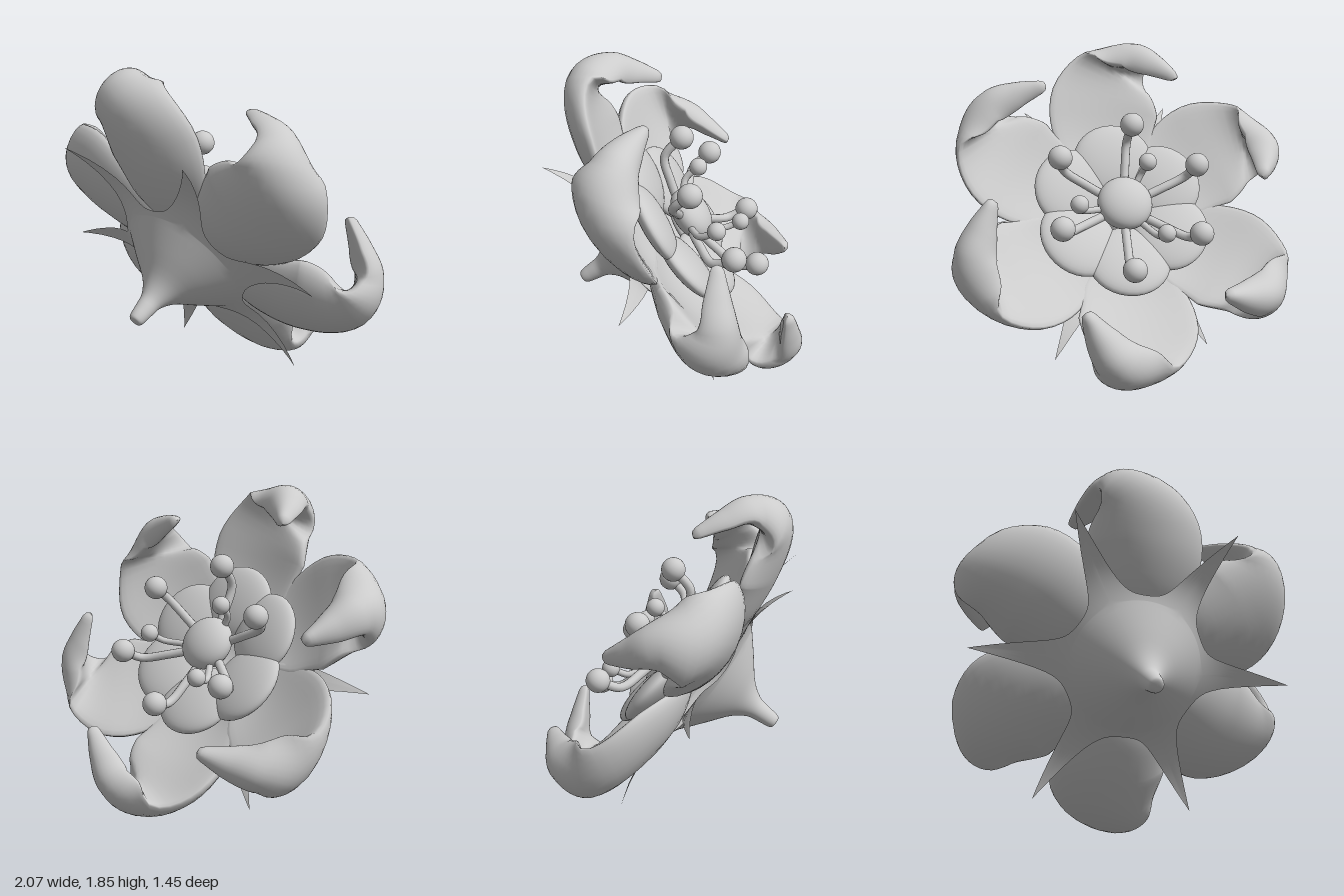
import * as THREE from 'three';

const V = (x, y, z) => new THREE.Vector3(x, y, z);
const material = new THREE.MeshStandardMaterial({ color: 0xcccccc, side: THREE.DoubleSide });

function add(parent, name, geometry) {
  const mesh = new THREE.Mesh(geometry, material);
  mesh.name = name;
  parent.add(mesh);
  return mesh;
}

// Surface from closed cross-sections: point(i, j) for each ring i and corner j
function loft(rings, corners, point) {
  const positions = [], index = [];
  for (let i = 0; i < rings; i++) {
    for (let j = 0; j < corners; j++) {
      positions.push(...point(i, j).toArray());
      if (i === rings - 1) continue;
      const k = (j + 1) % corners;
      const a = i * corners + j, b = i * corners + k;
      index.push(a, b, a + corners, b, b + corners, a + corners);
    }
  }
  const geometry = new THREE.BufferGeometry();
  geometry.setAttribute('position', new THREE.Float32BufferAttribute(positions, 3));
  geometry.setIndex(index);
  geometry.computeVertexNormals();
  return geometry;
}

// Funnel-shaped stem that flares into a six-pointed star of sepals
function calyxGeometry() {
  const inner = new THREE.SplineCurve([
    [0, -0.475], [0.035, -0.47], [0.047, -0.44], [0.055, -0.38], [0.07, -0.31],
    [0.13, -0.225], [0.25, -0.125], [0.38, -0.014],
  ].map(([r, h]) => new THREE.Vector2(r, h)));
  const innerRings = 24, outerRings = 16, perSepal = 24;
  return loft(innerRings + outerRings, 6 * perSepal, (i, j) => {
    const s = ((j % perSepal) / perSepal) * 2 - 1;
    const spread = Math.abs(s) ** 1.5;
    const angle = Math.floor(j / perSepal) * Math.PI / 3 + Math.sign(s) * spread * Math.PI / 6;
    let r, h;
    if (i < innerRings) {
      const p = inner.getPoint(i / (innerRings - 1));
      r = Math.max(p.x, 0);
      h = p.y;
    } else {
      const reach = 0.41 + 0.1 * (1 - spread) ** 2 + 0.43 * (1 - spread) ** 5;
      r = 0.38 + (reach - 0.38) * (i - innerRings + 1) / outerRings;
      h = 0.055 - (r < 0.62 ? 1.2 : 0.57) * (r - 0.62) ** 2;
    }
    return V(r * Math.cos(angle), h, r * Math.sin(angle));
  });
}

// Thick cupped petal whose end curls up and sideways into a hook
function petalGeometry() {
  const path = new THREE.CatmullRomCurve3([
    V(0, 0.10, 0.15), V(0.01, 0.11, 0.45), V(0, 0.18, 0.72), V(-0.105, 0.285, 0.955),
    V(-0.195, 0.405, 0.945), V(-0.285, 0.485, 0.845), V(-0.36, 0.56, 0.73),
  ]);
  // x is half the width, y half the thickness
  const size = new THREE.CatmullRomCurve3([
    V(0.08, 0.03, 0), V(0.29, 0.07, 0), V(0.35, 0.105, 0), V(0.235, 0.115, 0),
    V(0.14, 0.095, 0), V(0.095, 0.07, 0), V(0.042, 0.04, 0),
  ]);
  const rings = 40, corners = 28;
  return loft(rings + 2, corners, (i, j) => {
    const t = Math.min(i / (rings - 1), 1);
    const center = path.getPoint(t), tangent = path.getTangent(t), half = size.getPoint(t);
    // The last two rings round off the tip
    const cap = i < rings ? 1 : i === rings ? 0.7 : 0;
    if (i >= rings) center.addScaledVector(tangent, i === rings ? 0.024 : 0.034);
    const side = V(1, 0, 0).addScaledVector(tangent, -tangent.x).normalize();
    const up = tangent.clone().cross(side);
    const a = (j / corners) * Math.PI * 2;
    const c = Math.cos(a), s = Math.sin(a);
    const thick = half.y * s * (s > 0 ? 0.6 : 1) + half.x * 0.22 * (c * c - 0.25);
    return center.addScaledVector(side, half.x * c * cap).addScaledVector(up, thick * cap);
  });
}

export function createModel() {
  const model = new THREE.Group();
  model.name = 'flower';

  // The bloom is built upright along y, then tilted
  const bloom = new THREE.Group();
  bloom.name = 'bloom';
  bloom.rotation.x = THREE.MathUtils.degToRad(-55);
  bloom.position.set(0, 0.735, 0.235);
  model.add(bloom);

  add(bloom, 'calyx', calyxGeometry());

  const petal = petalGeometry();
  const innerPetal = new THREE.SphereGeometry(1, 32, 20);
  innerPetal.scale(0.25, 0.07, 0.23);
  innerPetal.rotateX(-0.2);
  innerPetal.translate(0, 0.24, 0.325);
  for (let k = 0; k < 6; k++) {
    add(bloom, 'outerPetal', petal).rotation.y = k * Math.PI / 3;
    add(bloom, 'innerPetal', innerPetal).rotation.y = k * Math.PI / 3;
  }

  // Domed centre
  const center = add(bloom, 'flowerCenter', new THREE.SphereGeometry(0.165, 32, 20));
  center.scale.y = 0.6;
  center.position.y = 0.35;

  // Stamens: head position and radius
  const stamens = [
    [-0.06, 0.56, 0.41, 0.07], [0.39, 0.54, 0.225, 0.07], [-0.42, 0.54, 0.14, 0.07],
    [0.43, 0.54, -0.21, 0.07], [-0.37, 0.535, -0.29, 0.07], [0.05, 0.51, -0.47, 0.07],
    [0.31, 0.515, -0.06, 0.053], [-0.17, 0.515, -0.267, 0.053], [-0.13, 0.515, 0.185, 0.053],
  ];
  for (const [x, y, z, radius] of stamens) {
    const stamen = new THREE.Group();
    stamen.name = 'stamen';
    bloom.add(stamen);
    const curve = new THREE.CatmullRomCurve3([
      V(x * 0.2, 0.32, z * 0.2), V(x * 0.55, 0.355, z * 0.55),
      V(x * 0.9, 0.41, z * 0.9), V(x, y, z),
    ]);
    add(stamen, 'filament', new THREE.TubeGeometry(curve, 20, radius * 0.38, 10));
    add(stamen, 'anther', new THREE.SphereGeometry(radius, 24, 16)).position.set(x, y, z);
  }

  return model;
}
